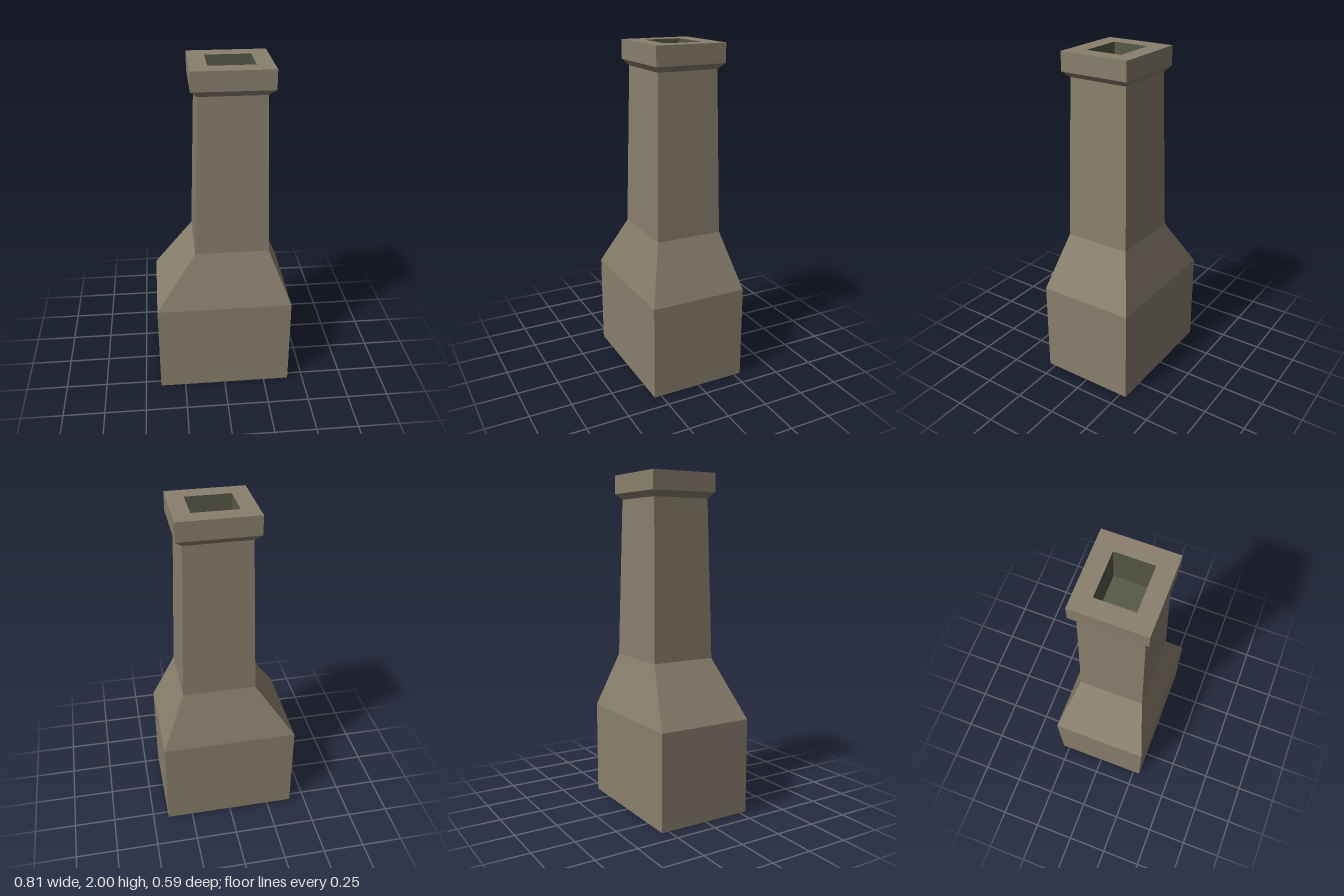
import * as THREE from 'three';

// Corner ring of a rectangular cross-section: y, x from/to, half depth in z
const ring = (y, x0, x1, z) => [[x0, y, z], [x1, y, z], [x1, y, -z], [x0, y, -z]];

// Four-sided walls lofted through rings; the order of rings sets the facing
function loft(rings, { startCap = false, endCap = false } = {}) {
  const pos = [];
  const quad = (a, b, c, d) => pos.push(...a, ...b, ...c, ...a, ...c, ...d);
  for (let r = 0; r < rings.length - 1; r++) {
    for (let i = 0; i < 4; i++) {
      const j = (i + 1) % 4;
      quad(rings[r][i], rings[r][j], rings[r + 1][j], rings[r + 1][i]);
    }
  }
  if (startCap) quad(...[...rings[0]].reverse());
  if (endCap) quad(...rings[rings.length - 1]);
  const geometry = new THREE.BufferGeometry();
  geometry.setAttribute('position', new THREE.Float32BufferAttribute(pos, 3));
  geometry.computeVertexNormals();
  return geometry;
}

export function createModel() {
  const stone = new THREE.MeshStandardMaterial({ color: 0x8a7f6d });
  stone.name = 'stone';
  const soot = new THREE.MeshStandardMaterial({ color: 0x575847 });
  soot.name = 'soot';

  const model = new THREE.Group();
  model.name = 'chimney';
  const add = (name, geometry, material) => {
    const mesh = new THREE.Mesh(geometry, material);
    mesh.name = name;
    model.add(mesh);
  };

  // Shared cross-sections, with the stack set off-centre to +x
  const baseTop = ring(0.57, -0.405, 0.405, 0.293);
  const stackFoot = ring(0.91, -0.168, 0.268, 0.2);
  const stackTop = ring(1.856, -0.14, 0.238, 0.181);
  const rimOuter = ring(2, -0.178, 0.278, 0.21);
  const rimInner = ring(2, -0.08, 0.181, 0.11);

  add('base', loft([ring(0, -0.405, 0.405, 0.293), baseTop], { startCap: true }), stone);
  add('shoulder', loft([baseTop, stackFoot]), stone);
  add('stack', loft([stackFoot, stackTop]), stone);

  // Crown: sloped underside, upright band and flat rim around the opening
  add('crown', loft([stackTop, ring(1.89, -0.178, 0.278, 0.21), rimOuter, rimInner]), stone);

  // Flue: inward-facing walls with a floor
  add('flue', loft([rimInner, ring(1.75, -0.08, 0.181, 0.11)], { endCap: true }), soot);

  return model;
}
